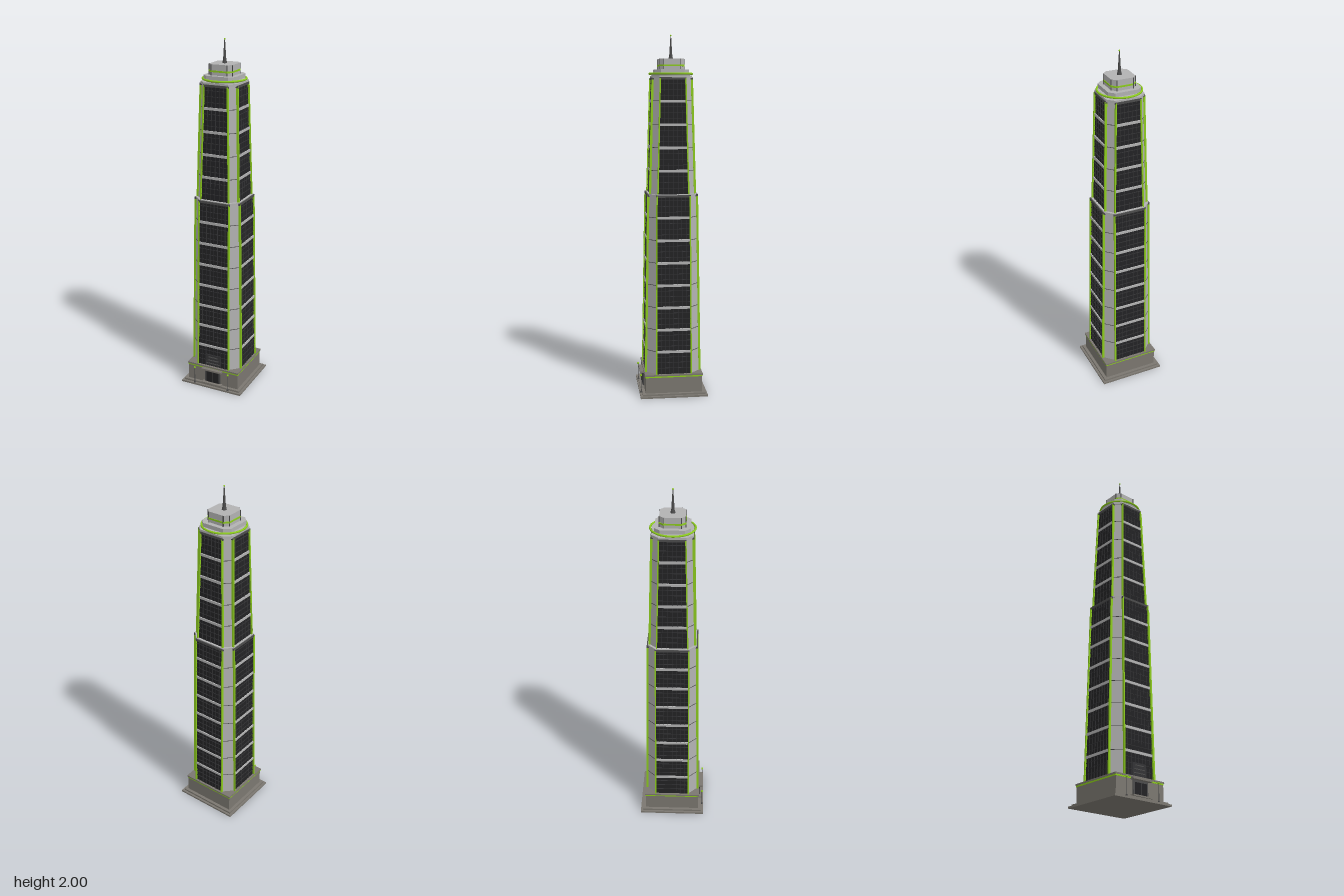
import * as THREE from 'three';

const mat = (name, color) => {
  const m = new THREE.MeshStandardMaterial({ color });
  m.name = name;
  return m;
};

export function createModel() {
  const root = new THREE.Group();
  root.name = 'skyscraper';
  const stone = mat('warm stone', 0x7b7770);
  const panel = mat('light grey panel', 0xb2b2b2);
  const glass = mat('dark glass', 0x222224);
  const frame = mat('dark frame', 0x343436);
  const trim = mat('dark metal', 0x4c4c4c);
  const green = mat('green accent', 0x8ccb1e);

  const add = (parent, name, geo, material, x = 0, y = 0, z = 0) => {
    const m = new THREE.Mesh(geo, material);
    m.name = name;
    m.position.set(x, y, z);
    parent.add(m);
    return m;
  };
  // box given by its bottom height
  const box = (parent, name, w, h, d, material, x, y, z) =>
    add(parent, name, new THREE.BoxGeometry(w, h, d), material, x, y + h / 2, z);
  // thin bar between two points
  const beam = (parent, name, p, q, w, d, material) => {
    const a = new THREE.Vector3(...p), b = new THREE.Vector3(...q);
    const m = add(parent, name, new THREE.BoxGeometry(w, a.distanceTo(b), d), material);
    m.position.copy(a).add(b).multiplyScalar(0.5);
    m.quaternion.setFromUnitVectors(new THREE.Vector3(0, 1, 0), b.sub(a).normalize());
    return m;
  };

  // square with cut corners: a = half depth, w = half width of each flat side
  const ring = (a, w) => [[w, a], [a, w], [a, -w], [w, -a], [-w, -a], [-a, -w], [-a, w], [-w, a]];
  const octagonSlab = (name, y, h, a, w, material) => {
    const geo = new THREE.ExtrudeGeometry(
      new THREE.Shape(ring(a, w).map(p => new THREE.Vector2(...p))), { depth: h, bevelEnabled: false });
    geo.rotateX(-Math.PI / 2);
    return add(root, name, geo, material, 0, y, 0);
  };
  // tapered shaft: material 0 on the four corners, 1 on the four flat sides
  const shaftGeometry = t => {
    const lo = ring(t.a0, t.w0), hi = ring(t.a1, t.w1), pos = [];
    const geo = new THREE.BufferGeometry();
    for (let i = 0; i < 8; i++) {
      const j = (i + 1) % 8;
      const A = [lo[i][0], t.y0, lo[i][1]], B = [lo[j][0], t.y0, lo[j][1]];
      const C = [hi[j][0], t.y1, hi[j][1]], D = [hi[i][0], t.y1, hi[i][1]];
      pos.push(...A, ...B, ...C, ...A, ...C, ...D);
      geo.addGroup(i * 6, 6, i % 2);
    }
    geo.setAttribute('position', new THREE.Float32BufferAttribute(pos, 3));
    geo.computeVertexNormals();
    return geo;
  };

  // base steps and podium
  box(root, 'baseSlab', 0.378, 0.01, 0.378, stone, 0, 0, 0);
  box(root, 'baseStep', 0.352, 0.01, 0.352, stone, 0, 0.01, 0);
  box(root, 'podium', 0.318, 0.09, 0.318, stone, 0, 0.02, 0);
  box(root, 'podiumAccent', 0.322, 0.008, 0.322, green, 0, 0.11, 0);
  box(root, 'podiumCap', 0.326, 0.009, 0.326, stone, 0, 0.118, 0);

  // two tapered tiers
  const tiers = [
    { name: 'lower', y0: 0.125, y1: 1.13, a0: 0.15, a1: 0.132, w0: 0.097, w1: 0.09, first: 0.255, bands: 7, cols: 8 },
    { name: 'upper', y0: 1.13, y1: 1.765, a0: 0.122, a1: 0.104, w0: 0.084, w1: 0.068, first: 1.265, bands: 4, cols: 6 },
  ];
  for (const t of tiers) {
    add(root, t.name + 'Shaft', shaftGeometry(t), [glass, panel].reverse());
    const at = y => {
      const k = (y - t.y0) / (t.y1 - t.y0);
      return [t.a0 + (t.a1 - t.a0) * k, t.w0 + (t.w1 - t.w0) * k];
    };
    for (let s = 0; s < 4; s++) {
      const side = new THREE.Group();
      side.name = t.name + 'Side';
      side.rotation.y = s * Math.PI / 2;
      root.add(side);
      // window grid
      for (let c = 1; c < t.cols; c++) {
        const u = (c / t.cols) * 2 - 1;
        beam(side, 'mullion', [u * t.w0, t.y0, t.a0 + 0.001], [u * t.w1, t.y1, t.a1 + 0.001], 0.0025, 0.004, frame);
      }
      for (let i = -1; i < t.bands; i++) {
        const yb = t.first + i * 0.1257;
        for (let k = 1; k < 4; k++) {
          const y = yb + k * 0.0314, [a, w] = at(y);
          box(side, 'windowBar', w * 2, 0.0025, 0.004, frame, 0, y, a + 0.001);
        }
        if (i < 0) continue;
        const [a, w] = at(yb);
        box(side, 'floorBand', w * 2 - 0.006, 0.014, 0.008, panel, 0, yb - 0.007, a + 0.002);
        // seam across the cut corner
        const mid = (a + w) / 2;
        const seam = box(side, 'cornerSeam', (a - w) * Math.SQRT2, 0.003, 0.003, trim, mid, yb, mid);
        seam.rotation.y = Math.PI / 4;
      }
      // green fins beside each flat side
      for (const sx of [-1, 1]) {
        beam(side, 'greenFin', [sx * (t.w0 + 0.001), t.y0, t.a0 + 0.003],
          [sx * (t.w1 + 0.001), t.y1, t.a1 + 0.003], 0.007, 0.012, green);
      }
      box(side, 'tierCornice', t.w1 * 2 + 0.01, 0.012, 0.014, trim, 0, t.y1 - 0.008, t.a1 + 0.001);
    }
  }
  octagonSlab('lowerTierRoof', 1.128, 0.01, 0.134, 0.091, panel);

  // crown
  octagonSlab('roofSlab', 1.765, 0.014, 0.108, 0.072, panel);
  add(root, 'roofDisc', new THREE.CylinderGeometry(0.11, 0.105, 0.012, 48), panel, 0, 1.785, 0);
  const halo = add(root, 'greenRing', new THREE.TorusGeometry(0.117, 0.0055, 10, 64), green, 0, 1.79, 0);
  halo.rotation.x = Math.PI / 2;
  octagonSlab('crownStep', 1.79, 0.022, 0.093, 0.064, panel);
  octagonSlab('crownDrum', 1.81, 0.06, 0.068, 0.046, panel);
  octagonSlab('crownAccent', 1.829, 0.009, 0.0705, 0.048, green);
  for (let s = 0; s < 4; s++) {
    const side = new THREE.Group();
    side.name = 'drumRibs';
    side.rotation.y = s * Math.PI / 2;
    root.add(side);
    for (const x of [-0.046, 0.046]) box(side, 'drumRib', 0.004, 0.058, 0.005, trim, x, 1.811, 0.068);
  }

  // spire
  add(root, 'spireBase', new THREE.CylinderGeometry(0.01, 0.013, 0.014, 16), trim, 0, 1.877, 0);
  add(root, 'spire', new THREE.CylinderGeometry(0.002, 0.009, 0.11, 12), trim, 0, 1.938, 0);
  add(root, 'spireTip', new THREE.SphereGeometry(0.0045, 12, 8), green, 0, 1.9955, 0);

  // entrance
  box(root, 'doorFrame', 0.1, 0.09, 0.008, trim, 0, 0.02, 0.16);
  box(root, 'doorGlass', 0.078, 0.07, 0.004, glass, 0, 0.025, 0.164);
  box(root, 'doorDivider', 0.003, 0.07, 0.004, trim, 0, 0.025, 0.166);
  box(root, 'entranceStep', 0.126, 0.008, 0.024, stone, 0, 0.02, 0.171);
  box(root, 'canopy', 0.126, 0.01, 0.026, stone, 0, 0.106, 0.17);
  // louvre panel over the entrance
  box(root, 'louvreBack', 0.09, 0.07, 0.006, frame, 0, 0.13, 0.151);
  for (let i = 0; i < 3; i++) box(root, 'louvre', 0.08 - i * 0.012, 0.005, 0.006, trim, 0, 0.143 + i * 0.02, 0.155);

  // lamp posts
  for (const x of [-0.107, 0.107]) {
    add(root, 'lampFoot', new THREE.CylinderGeometry(0.005, 0.006, 0.008, 12), trim, x, 0.014, 0.181);
    add(root, 'lampPost', new THREE.CylinderGeometry(0.002, 0.002, 0.09, 8), trim, x, 0.062, 0.181);
    add(root, 'lampHead', new THREE.SphereGeometry(0.006, 12, 8), green, x, 0.11, 0.181);
  }
  return root;
}
